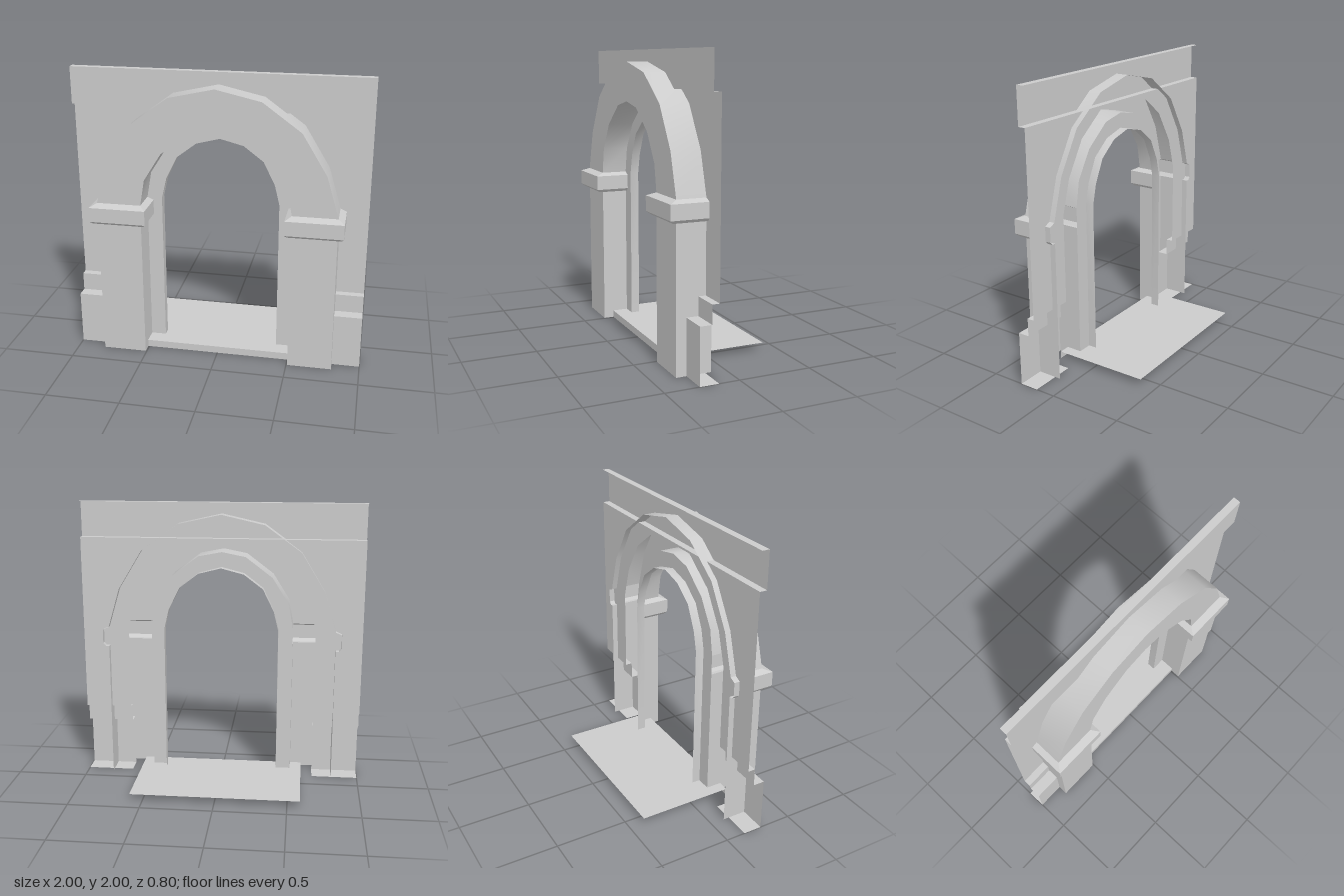
import * as THREE from 'three';
import { toCreasedNormals } from 'three/addons/utils/BufferGeometryUtils.js';

const material = new THREE.MeshStandardMaterial({ color: 0xcccccc, side: THREE.DoubleSide });

const BACK = 0.10, RING = 0.16, FRONT = 0.34;   // depths of the arch section
const WALL = 0.14, STEP = 0.19, BASE = 0.27;    // depths of the wall faces
const SPRING = 1.11;                            // height where the arch starts

// Right half of each arch outline, from springing to crown
const outerHalf = [[0.81, SPRING], [0.727, 1.39], [0.56, 1.665], [0.303, 1.852], [0, 1.92]];
const innerHalf = [[0.508, SPRING], [0.476, 1.29], [0.358, 1.478], [0.168, 1.622], [0, 1.655]];
const openingHalf = [[0.405, SPRING], [0.372, 1.248], [0.294, 1.407], [0.16, 1.509], [0, 1.55]];

const mirrored = (half) => [...half, ...half.slice(0, -1).reverse().map(([x, y]) => [-x, y])];
const withLegs = (line) => [[line[0][0], 0], ...line, [line[line.length - 1][0], 0]];

// Surface through a list of equally long cross-sections
function loft(sections, crease = 0.6) {
  const n = sections[0].length;
  const index = [];
  for (let i = 0; i < sections.length - 1; i++) {
    for (let j = 0; j < n - 1; j++) {
      const a = i * n + j, b = a + n;
      index.push(a, a + 1, b, a + 1, b + 1, b);
    }
  }
  const geometry = new THREE.BufferGeometry();
  geometry.setAttribute('position', new THREE.Float32BufferAttribute(sections.flat(2), 3));
  geometry.setIndex(index);
  return toCreasedNormals(geometry, crease);
}

// Profile of [y, z] points carried straight along x; wound to face the front
const strip = (profile, x0, x1) =>
  loft([x1, x0].map((x) => profile.map(([y, z]) => [x, y, z])));

export function createModel() {
  const model = new THREE.Group();
  const add = (name, geometry) => {
    const mesh = new THREE.Mesh(geometry, material);
    mesh.name = name;
    model.add(mesh);
  };

  // Arch band: outer side, front face and soffit, open at the back
  const outer = mirrored(outerHalf), inner = mirrored(innerHalf), opening = mirrored(openingHalf);
  add('archBand', loft(outer.map((o, i) => [
    [...o, BACK], [...o, FRONT], [...inner[i], FRONT], [...inner[i], RING],
  ])));

  // Recessed door frame with its reveal, running from the ground over the arch
  const frameOuter = withLegs(inner), frameInner = withLegs(opening);
  add('doorFrame', loft(frameOuter.map((o, i) => [
    [...o, RING], [...frameInner[i], RING], [...frameInner[i], BACK],
  ])));

  for (const [side, s] of [['left', 1], ['right', -1]]) {
    // Hollow section of a pillar or capital at one height
    const section = ([y, xo, xi, zf]) => {
      const points = [[s * xo, y, BACK], [s * xo, y, zf], [s * xi, y, zf], [s * xi, y, RING]];
      return s > 0 ? points : points.reverse();
    };
    add(side + 'Pillar', loft([[0, 0.81, 0.508, FRONT], [0.97, 0.81, 0.508, FRONT]].map(section)));
    add(side + 'Capital', loft([
      [0.97, 0.81, 0.508, FRONT],
      [0.97, 0.835, 0.483, 0.37],
      [0.99, 0.853, 0.466, 0.395],
      [1.09, 0.853, 0.466, 0.395],
      [SPRING, 0.81, 0.508, FRONT],
    ].map(section), 0.2));

    // Stepped plinth at the foot of the wall
    const plinth = [[0, WALL], [0, BASE], [0.375, BASE], [0.375, STEP], [0.5, STEP], [0.5, WALL]];
    add(side + 'Plinth', strip(plinth, Math.min(s * 0.67, s), Math.max(s * 0.67, s)));
  }

  // Wall sheet, cut out behind the arch
  const cut = mirrored(outerHalf.map(([x, y], i) => [
    i === 0 ? 0.67 : (x + innerHalf[i][0]) / 2,
    Math.min((y + innerHalf[i][1]) / 2, 1.735),
  ]));
  const outline = [[-1, 0.5], [-1, 1.75], [1, 1.75], [1, 0.5], [0.67, 0.5], ...cut, [-0.67, 0.5]];
  const wall = new THREE.ShapeGeometry(new THREE.Shape(outline.map((p) => new THREE.Vector2(...p))));
  add('wall', wall.translate(0, 0, WALL));

  // Cornice with its underside and top ledge
  add('cornice', strip([[1.75, WALL], [1.75, STEP], [2, STEP], [2, WALL]], -1, 1));

  // Threshold face and the floor running out behind it
  add('floor', strip([[0, BASE], [0.05, BASE], [0.05, -0.4]], -0.588, 0.588));

  return model;
}
